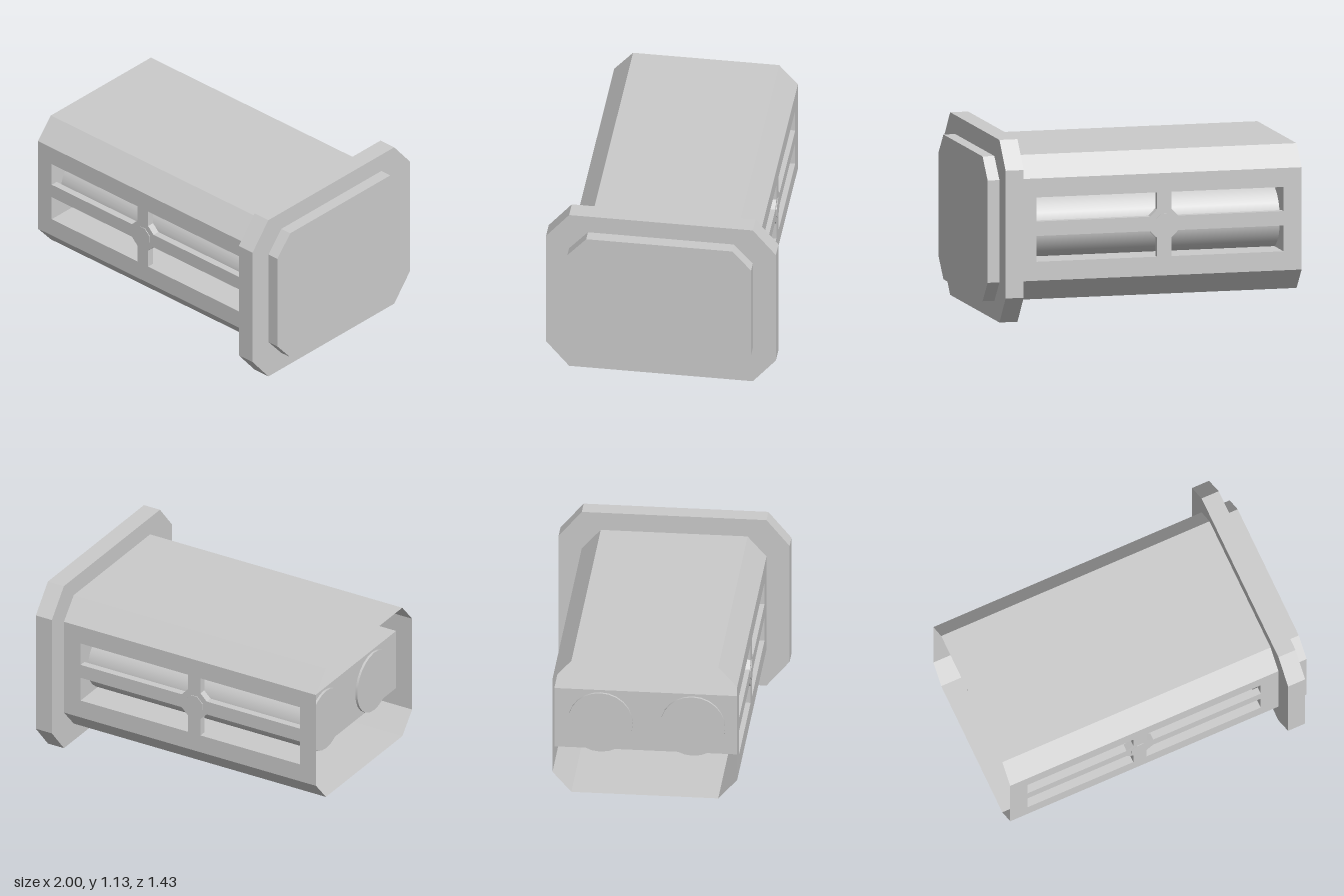
import * as THREE from 'three';

const grey = new THREE.MeshStandardMaterial({ color: 0xcccccc, flatShading: true });
const sheet = new THREE.MeshStandardMaterial({ color: 0xcccccc, flatShading: true, side: THREE.DoubleSide });
const smooth = new THREE.MeshStandardMaterial({ color: 0xcccccc });

// main dimensions
const MID = 0.57;                                  // height of the long axis
const WALL = 0.57;                                 // half width of the body
const WIN = { x0: -0.885, x1: 0.69, y0: 0.37, y1: 0.77 };
const HUB = { x: -0.125, y: 0.575 };

function add(parent, name, geometry, material = grey) {
  const mesh = new THREE.Mesh(geometry, material);
  mesh.name = name;
  parent.add(mesh);
  return mesh;
}

// rectangle with cut corners, half sizes w and h, flat half lengths fw and fh
function octagon(w, h, fw, fh) {
  return [[fw, -h], [w, -fh], [w, fh], [fw, h], [-fw, h], [-w, fh], [-w, -fh], [-fw, -h]]
    .map(([x, y]) => new THREE.Vector2(x, y));
}

// solid octagonal slab lying across the long axis from x0 to x1
function slab(points, x0, x1) {
  const g = new THREE.ExtrudeGeometry(new THREE.Shape(points), { depth: x1 - x0, bevelEnabled: false });
  return g.rotateY(Math.PI / 2).translate(x0, MID, 0);
}

// open octagonal skin; the two flat sides are left out for the window walls
function skin(points, x0, x1) {
  const pos = [];
  points.forEach((a, i) => {
    const b = points[(i + 1) % points.length];
    if (a.x === b.x) return;
    const quad = [[x0, a], [x1, a], [x1, b], [x0, a], [x1, b], [x0, b]];
    quad.forEach(([x, p]) => pos.push(x, MID + p.y, p.x));
  });
  const g = new THREE.BufferGeometry();
  g.setAttribute('position', new THREE.Float32BufferAttribute(pos, 3));
  g.computeVertexNormals();
  return g;
}

function rectanglePoints(x0, y0, x1, y1) {
  return [[x0, y0], [x1, y0], [x1, y1], [x0, y1]].map(([x, y]) => new THREE.Vector2(x, y));
}

// side wall with a window, crossing bars and a small hub
function sideWall() {
  const side = new THREE.Group();

  const wall = new THREE.Shape(rectanglePoints(-1, 0.252, 0.82, 0.888));
  wall.holes.push(new THREE.Path(rectanglePoints(WIN.x0, WIN.y0, WIN.x1, WIN.y1)));
  add(side, 'windowWall', new THREE.ShapeGeometry(wall).translate(0, 0, WALL), sheet);

  const b = 0.045, d = 0.09;                       // half bar width, reach of the cut corners
  const { x, y } = HUB;
  const cross = new THREE.Shape([
    [WIN.x0, y - b], [x - d, y - b], [x - b, y - d], [x - b, WIN.y0],
    [x + b, WIN.y0], [x + b, y - d], [x + d, y - b], [WIN.x1, y - b],
    [WIN.x1, y + b], [x + d, y + b], [x + b, y + d], [x + b, WIN.y1],
    [x - b, WIN.y1], [x - b, y + d], [x - d, y + b], [WIN.x0, y + b],
  ].map(([px, py]) => new THREE.Vector2(px, py)));
  add(side, 'windowBars', new THREE.ExtrudeGeometry(cross, { depth: 0.045, bevelEnabled: false })
    .translate(0, 0, WALL - 0.045));

  const hub = new THREE.Shape(octagon(0.06, 0.06, 0.022, 0.022));
  add(side, 'hub', new THREE.ExtrudeGeometry(hub, { depth: 0.02, bevelEnabled: false })
    .translate(x, y, WALL - 0.016));
  return side;
}

export function createModel() {
  const model = new THREE.Group();
  model.name = 'canister';

  // body skin, open at the -x end
  const body = octagon(WALL, 0.45, 0.453, 0.318);
  add(model, 'bodySkin', skin(body, -1, 0.82), sheet);

  // collar and end cap
  add(model, 'collar', slab(octagon(0.713, 0.5675, 0.57, 0.397), 0.81, 0.925));
  add(model, 'endCap', slab(body, 0.92, 1));

  // mirrored window walls
  for (const s of [1, -1]) {
    const side = sideWall();
    side.name = s > 0 ? 'frontSide' : 'backSide';
    side.scale.z = s;
    model.add(side);
  }

  // passage running from window to window
  const len = WIN.x1 - WIN.x0, tall = WIN.y1 - WIN.y0;
  const cx = (WIN.x0 + WIN.x1) / 2, cy = (WIN.y0 + WIN.y1) / 2;
  for (const [name, y] of [['passageFloor', WIN.y0], ['passageCeiling', WIN.y1]]) {
    add(model, name, new THREE.PlaneGeometry(len, 2 * WALL).rotateX(-Math.PI / 2).translate(cx, y, 0), sheet);
  }
  for (const [name, x] of [['passageOpenEnd', WIN.x0], ['passageCapEnd', WIN.x1]]) {
    add(model, name, new THREE.PlaneGeometry(2 * WALL, tall).rotateY(Math.PI / 2).translate(x, cy, 0), sheet);
  }

  // two rods lying side by side in the passage
  const start = WIN.x0 - 0.015, rodLength = WIN.x1 - start;
  for (const s of [1, -1]) {
    add(model, s > 0 ? 'frontRod' : 'backRod',
      new THREE.CylinderGeometry(0.2, 0.2, rodLength, 24).rotateZ(Math.PI / 2)
        .translate(start + rodLength / 2, 0.555, s * 0.285), smooth);
  }
  return model;
}
